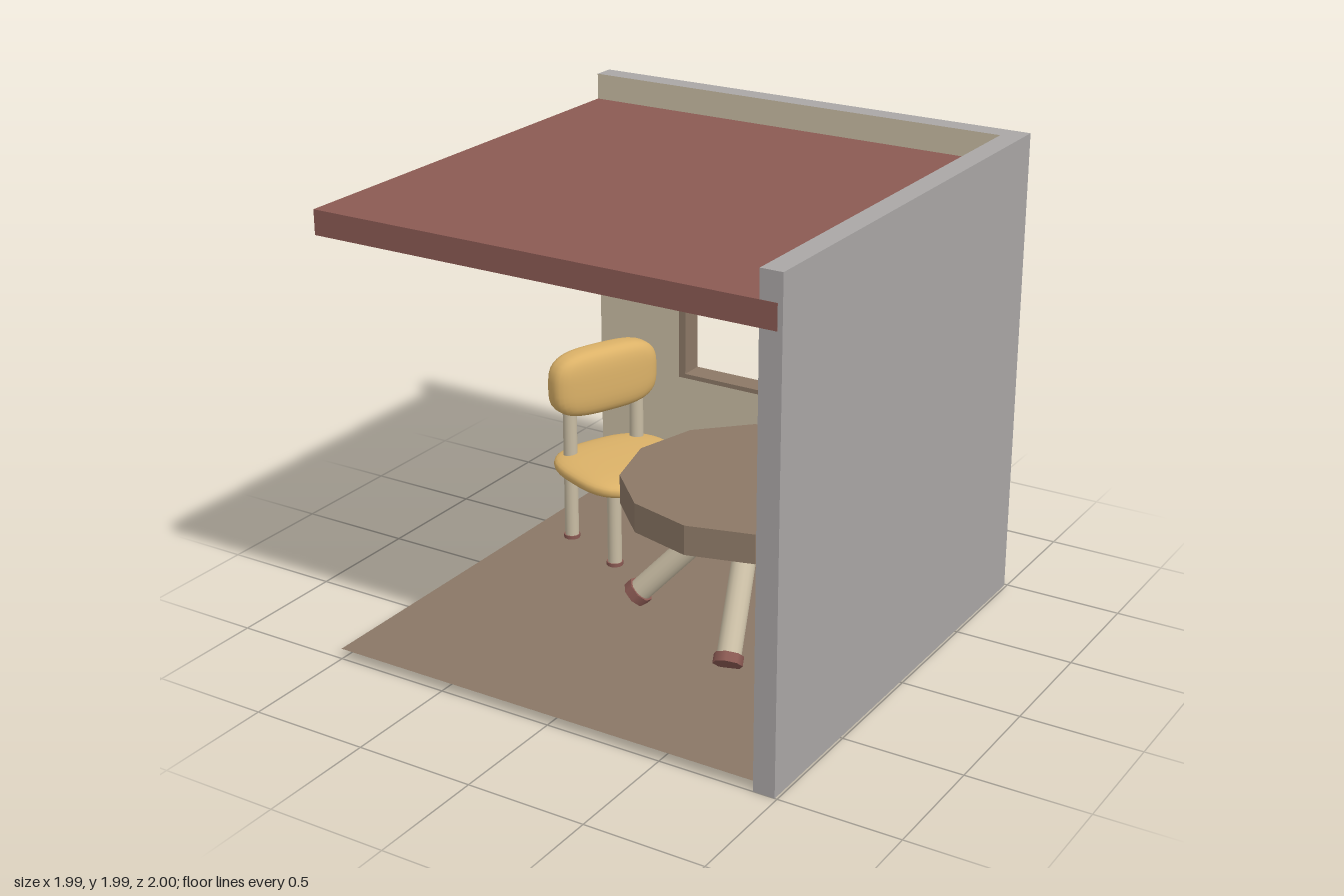
import * as THREE from 'three';
import { mergeVertices } from 'three/addons/utils/BufferGeometryUtils.js';

const mat = (name, color, extra = {}) => {
  const m = new THREE.MeshStandardMaterial({ color, ...extra });
  m.name = name;
  return m;
};

export function createModel() {
  const room = new THREE.Group();
  room.name = 'diningCorner';
  const two = { side: THREE.DoubleSide };
  const grey = mat('outerWallGrey', 0xaaa7a6, two);
  const cream = mat('cream', 0xc9bda4, two);
  const brick = mat('brickRed', 0x8b5a53);
  const wood = mat('brownWood', 0x8c7866, { flatShading: true });
  const ground = mat('floorBrown', 0x8a7766, two);
  const gold = mat('goldenSeat', 0xdcb268);

  const add = (parent, name, geo, material, x = 0, y = 0, z = 0) => {
    const m = new THREE.Mesh(geo, material);
    m.name = name;
    m.position.set(x, y, z);
    parent.add(m);
    return m;
  };
  const box = (parent, name, material, x0, x1, y0, y1, z0, z1) =>
    add(parent, name, new THREE.BoxGeometry(x1 - x0, y1 - y0, z1 - z0), material,
      (x0 + x1) / 2, (y0 + y1) / 2, (z0 + z1) / 2);

  // Walls: hollow shells, open underneath, grey outside and cream inside
  const H = 1.99, outer = 0.99, inner = 0.9;
  const wallSheet = (x0, x1, hole) => {
    const s = new THREE.Shape([[x0, 0], [x1, 0], [x1, H], [x0, H]].map(p => new THREE.Vector2(...p)));
    if (hole) s.holes.push(new THREE.Path(
      [[-0.575, 0.675], [-0.575, 1.325], [0.575, 1.325], [0.575, 0.675]].map(p => new THREE.Vector2(...p))));
    return new THREE.ShapeGeometry(s);
  };
  add(room, 'backWallOutside', wallSheet(-1, outer, true), grey, 0, 0, -outer).geometry.scale(1, 1, 1);
  add(room, 'backWallInside', wallSheet(-1, inner, true), cream, 0, 0, -inner);
  add(room, 'sideWallOutside', wallSheet(-1, outer), grey, outer, 0, 0).rotation.y = Math.PI / 2;
  add(room, 'sideWallInside', wallSheet(-1, inner), cream, inner, 0, 0).rotation.y = Math.PI / 2;
  add(room, 'backWallEnd', new THREE.PlaneGeometry(0.09, H), grey, -1, H / 2, -0.945).rotation.y = -Math.PI / 2;
  add(room, 'sideWallEnd', new THREE.PlaneGeometry(0.09, H), grey, 0.945, H / 2, 1);
  add(room, 'backWallTop', new THREE.PlaneGeometry(1.99, 0.09), grey, -0.005, H, -0.945).rotation.x = -Math.PI / 2;
  add(room, 'sideWallTop', new THREE.PlaneGeometry(0.09, 1.9), grey, 0.945, H, 0.05).rotation.x = -Math.PI / 2;

  // Floor and roof
  add(room, 'floor', new THREE.PlaneGeometry(1.97, 1.97), ground, -0.015, 0.045, 0.015).rotation.x = -Math.PI / 2;
  box(room, 'roof', brick, -1, 0.97, 1.78, 1.88, -0.97, 1.001);

  // Window frame through the back wall
  const frame = new THREE.Group();
  frame.name = 'windowFrame';
  room.add(frame);
  for (const s of [-1, 1]) {
    box(frame, 'frameSide', wood, s * 0.567 - 0.016, s * 0.567 + 0.016, 0.665, 1.335, -1, -0.895);
    box(frame, 'frameRail', wood, -0.552, 0.552, 1 + s * 0.325 - 0.01, 1 + s * 0.325 + 0.01, -1, -0.895);
  }
  box(frame, 'mullion', wood, -0.015, 0.015, 0.685, 1.315, -0.998, -0.897);

  // Round table with four splayed legs
  const table = new THREE.Group();
  table.name = 'table';
  table.position.set(0.255, 0, -0.12);
  room.add(table);
  add(table, 'tableTop', new THREE.CylinderGeometry(0.545, 0.545, 0.125, 12), wood, 0, 0.605, 0)
    .rotation.y = Math.PI / 2;
  const head = new THREE.Vector2(0.03, 0.58), foot = new THREE.Vector2(0.503, 0.078);
  const length = head.distanceTo(foot), lean = Math.atan2(foot.x - head.x, head.y - foot.y);
  for (let i = 0; i < 4; i++) {
    const turn = new THREE.Group();
    turn.name = 'tableLeg';
    turn.rotation.y = 0.32 + i * Math.PI / 2;
    const leg = new THREE.Group();
    leg.name = 'splayedLeg';
    leg.position.set(foot.x, foot.y, 0);
    leg.rotation.z = lean;
    add(leg, 'legShaft', new THREE.CylinderGeometry(0.05, 0.05, length, 16), cream, 0, length / 2 + 0.005, 0);
    add(leg, 'legCap', new THREE.CylinderGeometry(0.061, 0.061, 0.04, 8), brick, 0, 0.02, 0);
    turn.add(leg);
    table.add(turn);
  }

  // Cushion: a cube sphere pushed out to a superellipsoid
  const cushion = (w, h, d, p) => {
    let g = new THREE.BoxGeometry(2, 2, 2, 10, 10, 10);
    g.deleteAttribute('uv');
    g.deleteAttribute('normal');
    g = mergeVertices(g);
    const pos = g.attributes.position, v = new THREE.Vector3();
    for (let i = 0; i < pos.count; i++) {
      v.fromBufferAttribute(pos, i).normalize();
      const k = (Math.abs(v.x) ** p + Math.abs(v.y) ** p + Math.abs(v.z) ** p) ** (-1 / p);
      pos.setXYZ(i, v.x * k * w, v.y * k * h, v.z * k * d);
    }
    g.computeVertexNormals();
    return g;
  };

  // Chair turned towards the table
  const chair = new THREE.Group();
  chair.name = 'chair';
  chair.position.set(-0.577, 0, -0.442);
  chair.rotation.y = THREE.MathUtils.degToRad(67);
  room.add(chair);
  add(chair, 'seat', cushion(0.28, 0.048, 0.28, 3), gold, 0, 0.407, 0);
  add(chair, 'backrest', cushion(0.265, 0.15, 0.08, 3.3), gold, 0, 0.765, -0.17);
  for (const x of [-0.174, 0.174]) for (const [z, top] of [[-0.17, 0.7], [0.17, 0.4]]) {
    add(chair, 'chairLeg', new THREE.CylinderGeometry(0.031, 0.031, top - 0.05, 16), cream, x, (top + 0.05) / 2, z);
    add(chair, 'chairLegCap', new THREE.CylinderGeometry(0.036, 0.036, 0.026, 12), brick, x, 0.048, z);
  }
  return room;
}
